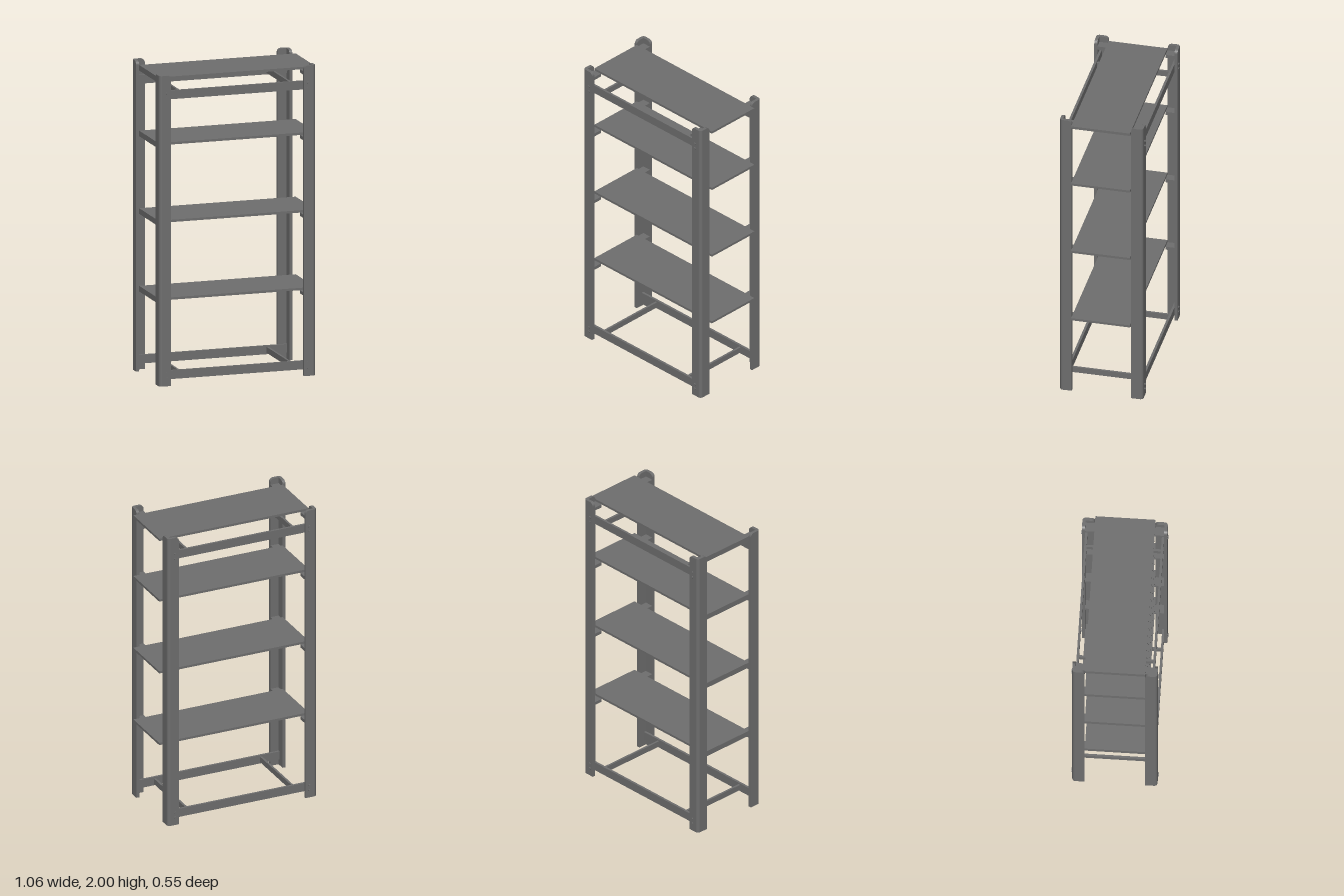
import * as THREE from 'three';

const mat = new THREE.MeshStandardMaterial({ color: 0x6e6e6e });

function add(parent, name, geometry) {
  const m = new THREE.Mesh(geometry, mat);
  m.name = name;
  parent.add(m);
  return m;
}

// Box given by its limits on each axis
function box(parent, name, [x0, x1], [y0, y1], [z0, z1]) {
  const m = add(parent, name, new THREE.BoxGeometry(x1 - x0, y1 - y0, z1 - z0));
  m.position.set((x0 + x1) / 2, (y0 + y1) / 2, (z0 + z1) / 2);
  return m;
}

const X0 = -0.53, X1 = 0.507, Z = 0.269; // outer faces of the posts
const H = 2, W = 0.078, T = 0.02; // post height, flange width, thickness

// Angle-section post: two flanges with a rounded top corner, joined by a rounded edge
function anglePost() {
  const g = new THREE.Group();
  g.name = 'anglePost';
  const r = 0.025;
  const s = new THREE.Shape();
  s.moveTo(T, 0);
  s.lineTo(W, 0);
  s.lineTo(W, H - r);
  s.absarc(W - r, H - r, r, 0, Math.PI / 2, false);
  s.lineTo(T, H);
  s.closePath();
  const plate = new THREE.ExtrudeGeometry(s, { depth: T, bevelEnabled: false, curveSegments: 6 });
  add(g, 'frontFlange', plate);
  const side = add(g, 'sideFlange', plate);
  side.rotation.y = -Math.PI / 2;
  side.position.x = T;
  const edge = add(g, 'roundedEdge', new THREE.CylinderGeometry(T, T, H, 8, 1, false, Math.PI, Math.PI / 2));
  edge.position.set(T, H / 2, T);
  return g;
}

export function createModel() {
  const model = new THREE.Group();
  model.name = 'shelvingUnit';

  // Four corner posts, each turned to face inward
  [[X0, -Z, 0], [X0, Z, 1], [X1, Z, 2], [X1, -Z, 3]].forEach(([x, z, turn]) => {
    const post = anglePost();
    post.position.set(x, 0, z);
    post.rotation.y = turn * Math.PI / 2;
    model.add(post);
  });

  // Bottom and top frames: long rails, cross bars and bolts
  for (const y of [0.068, 1.871]) {
    const frame = new THREE.Group();
    frame.name = 'frame';
    model.add(frame);
    for (const s of [-1, 1]) {
      const rail = box(frame, 'longRail', [X0 + T, X1 - T], [y - 0.028, y + 0.028], [-0.0075, 0.0075]);
      rail.position.z = s * 0.2415;
      for (const x of [-0.48, 0.456]) {
        for (const dy of [-0.017, 0.017]) {
          const bolt = add(frame, 'bolt', new THREE.CylinderGeometry(0.008, 0.008, 0.04, 12));
          bolt.rotation.x = Math.PI / 2;
          bolt.position.set(x, y + dy, s * 0.254);
        }
      }
    }
    for (const x of [-0.381, 0.358]) {
      box(frame, 'crossBar', [x - 0.007, x + 0.007], [y - 0.019, y + 0.019], [-0.235, 0.235]);
    }
  }

  // Shelves with an angle support and end brackets on each side
  for (const top of [0.552, 1.052, 1.552, 1.975]) {
    const level = new THREE.Group();
    level.name = 'shelfLevel';
    model.add(level);
    box(level, 'shelf', [-0.51, 0.529], [top - 0.015, top], [-0.19, 0.19]);
    const y = top - 0.015;
    for (const s of [-1, 1]) {
      const face = s < 0 ? X0 + T : X1 - T; // inner face of the posts
      const span = (a, b) => [face - s * a, face - s * b].sort((p, q) => p - q);
      box(level, 'supportFlange', span(0, 0.03), [y - 0.006, y], [-0.249, 0.249]);
      box(level, 'supportWeb', span(0, 0.008), [y - 0.021, y], [-0.249, 0.249]);
      for (const e of [-1, 1]) {
        const depth = (a, b) => [e * a, e * b].sort((p, q) => p - q);
        box(level, 'bracketPlate', span(0, 0.057), [y - 0.021, y], depth(0.19, 0.249));
        box(level, 'bracketFoot', span(0, 0.03), [y - 0.042, y - 0.021], depth(0.2, 0.249));
      }
    }
  }
  return model;
}
